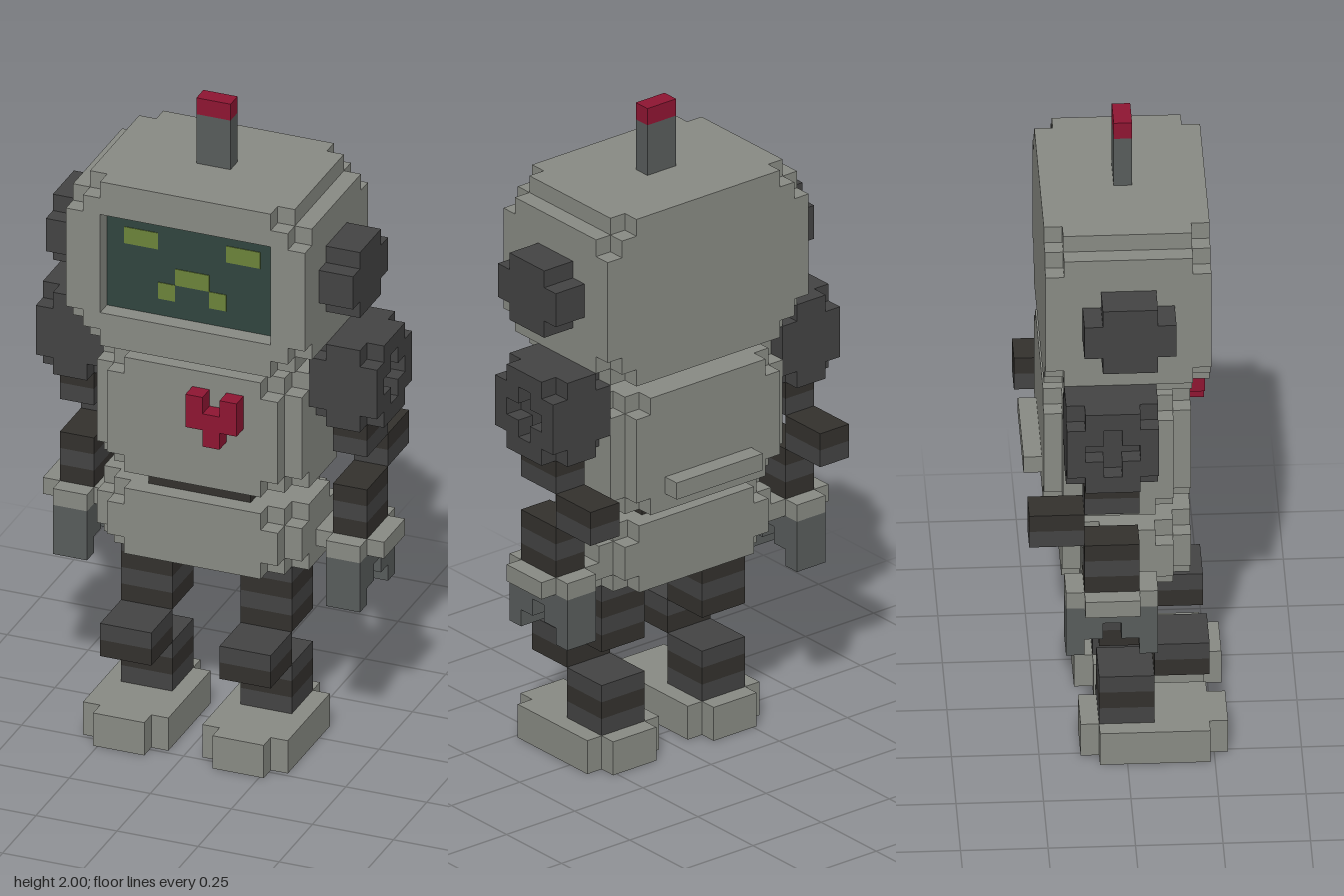
import * as THREE from 'three';

const U = 1 / 19; // size of one block
const mat = (color) => new THREE.MeshStandardMaterial({ color, flatShading: true });
const M = {
  shell: mat(0x888a83), dark: mat(0x434343), band: mat(0x33312d), metal: mat(0x585c5b),
  red: mat(0x8e1532), screen: mat(0x30453f), glow: mat(0x6c843a),
};

// Plain box; bounds are [x0, x1, y0, y1, z0, z1] in blocks
function box(parent, name, material, [x0, x1, y0, y1, z0, z1]) {
  const g = new THREE.BoxGeometry((x1 - x0) * U, (y1 - y0) * U, (z1 - z0) * U);
  const m = new THREE.Mesh(g, material);
  m.position.set((x0 + x1) / 2 * U, (y0 + y1) / 2 * U, (z0 + z1) / 2 * U);
  m.name = name;
  parent.add(m);
}

// Block body carved by a rule; d = steps from the nearest end on each axis, c = block centre
function carved(parent, name, material, b, keep) {
  const solid = (p) => {
    const d = [], c = [];
    for (let a = 0; a < 3; a++) {
      d[a] = Math.min(p[a] - b[2 * a], b[2 * a + 1] - 1 - p[a]);
      c[a] = p[a] + 0.5;
      if (d[a] < 0) return false;
    }
    return keep(d, c);
  };
  const pos = [], nor = [];
  for (let x = b[0]; x < b[1]; x++) for (let y = b[2]; y < b[3]; y++) for (let z = b[4]; z < b[5]; z++) {
    if (!solid([x, y, z])) continue;
    for (let a = 0; a < 3; a++) for (const s of [1, -1]) {
      const next = [x, y, z];
      next[a] += s;
      if (solid(next)) continue;
      // Exposed side of this block
      const u = (a + 1) % 3, v = (a + 2) % 3;
      const ring = [[0, 0], [1, 0], [1, 1], [0, 1]].map(([i, j]) => {
        const q = [x, y, z];
        q[a] += s > 0 ? 1 : 0;
        q[u] += i;
        q[v] += j;
        return q.map((k) => k * U);
      });
      const n = [0, 0, 0];
      n[a] = s;
      for (const k of s > 0 ? [0, 1, 2, 0, 2, 3] : [0, 2, 1, 0, 3, 2]) {
        pos.push(...ring[k]);
        nor.push(...n);
      }
    }
  }
  const g = new THREE.BufferGeometry();
  g.setAttribute('position', new THREE.Float32BufferAttribute(pos, 3));
  g.setAttribute('normal', new THREE.Float32BufferAttribute(nor, 3));
  const m = new THREE.Mesh(g, material);
  m.name = name;
  parent.add(m);
}

// Limb section with alternating one-block bands
function banded(parent, name, [x0, x1, y0, y1, z0, z1]) {
  for (let y = y0; y < y1; y++) box(parent, name, y % 2 ? M.band : M.dark, [x0, x1, y, y + 1, z0, z1]);
}

export function createModel() {
  const robot = new THREE.Group();
  robot.name = 'robot';
  const part = (name) => {
    const g = new THREE.Group();
    g.name = name;
    robot.add(g);
    return g;
  };

  // Head with a recessed screen
  const head = part('head');
  carved(head, 'headShell', M.shell, [-7, 7, 24, 34, -4.5, 4.5], ([dx, dy, dz], [x, y, z]) =>
    dx + dy >= (dz === 0 ? 2 : 1) && !(z > 3.5 && Math.abs(x) < 5 && y > 26 && y < 32));
  box(head, 'screen', M.screen, [-5, 5, 26, 32, 3.4, 3.52]);
  box(head, 'mouthTop', M.glow, [-1, 1, 28, 29, 3.45, 3.56]);
  for (const x of [-4, 2]) box(head, 'eye', M.glow, [x, x + 2, 30, 31, 3.45, 3.56]);
  for (const x of [-2, 1]) box(head, 'mouthCorner', M.glow, [x, x + 1, 27, 28, 3.45, 3.56]);
  box(head, 'antenna', M.metal, [-1, 1, 34, 37, -0.5, 0.5]);
  box(head, 'antennaTip', M.red, [-1, 1, 37, 38, -0.5, 0.5]);

  // Torso, joints and pelvis
  const body = part('body');
  const softBody = ([dx, dy, dz]) => dx + dz >= (dy === 0 ? 2 : 1);
  box(body, 'neck', M.band, [-3, 3, 23, 24, -2.5, 1.5]);
  carved(body, 'torso', M.shell, [-6, 6, 16, 23, -4.5, 3.5], softBody);
  box(body, 'backBar', M.shell, [-3, 3, 17, 18, -5.5, -4.5]);
  box(body, 'waist', M.band, [-3, 3, 15, 16, -2.5, 2.5]);
  carved(body, 'pelvis', M.shell, [-6, 6, 11, 15, -3.5, 3.5], softBody);

  // Heart on the chest
  carved(body, 'heart', M.red, [0, 3, 19, 22, 3.5, 4.5], (d, [x, y]) =>
    Math.abs(x - 1.5) < 0.5 ? y < 21 : y > 20);

  for (const s of [1, -1]) {
    const side = s > 0 ? 'left' : 'right';
    const at = (x0, x1, ...rest) => (s > 0 ? [x0, x1, ...rest] : [-x1, -x0, ...rest]);
    carved(head, side + 'Ear', M.dark, at(7, 9, 27, 31, -2.5, 2.5), ([, dy, dz]) => dy + dz >= 1);

    // Arm: shoulder with a cross-shaped dent, elbow pushed back, claw hand
    const arm = part(side + 'Arm');
    carved(arm, 'shoulder', M.dark, at(6, 10, 20, 25, -3.5, 1.5), ([dx, dy, dz], [x, y, z]) =>
      dx + dy + dz > 0 && !(Math.abs(x) > 9 && Math.abs(y - 22.5) + Math.abs(z + 1) < 1.5));
    banded(arm, 'upperArm', at(7, 9, 18, 20, -2.5, 0.5));
    banded(arm, 'elbow', at(7, 9, 16, 18, -5.5, -2.5));
    banded(arm, 'forearm', at(7, 9, 13, 16, -2.5, 0.5));
    carved(arm, 'cuff', M.shell, at(6, 10, 12, 13, -3.5, 1.5), ([dx, , dz]) => dx + dz >= 1);
    carved(arm, 'claw', M.metal, at(7, 9, 9, 12, -3.5, 1.5), (d, [, y, z]) =>
      y > 11 || Math.abs(z + 1) > (y > 10 ? 0.5 : 1.5));

    // Leg: knee pushed forward, broad foot
    const leg = part(side + 'Leg');
    banded(leg, 'thigh', at(2, 5, 7, 11, -1.5, 1.5));
    banded(leg, 'knee', at(2, 5, 5, 7, 1.5, 4.5));
    banded(leg, 'shin', at(2, 5, 2, 5, -1.5, 1.5));
    carved(leg, 'foot', M.shell, at(1, 6, 0, 2, -2.5, 5.5), ([dx, , dz]) => dx + dz >= 1);
  }
  return robot;
}
